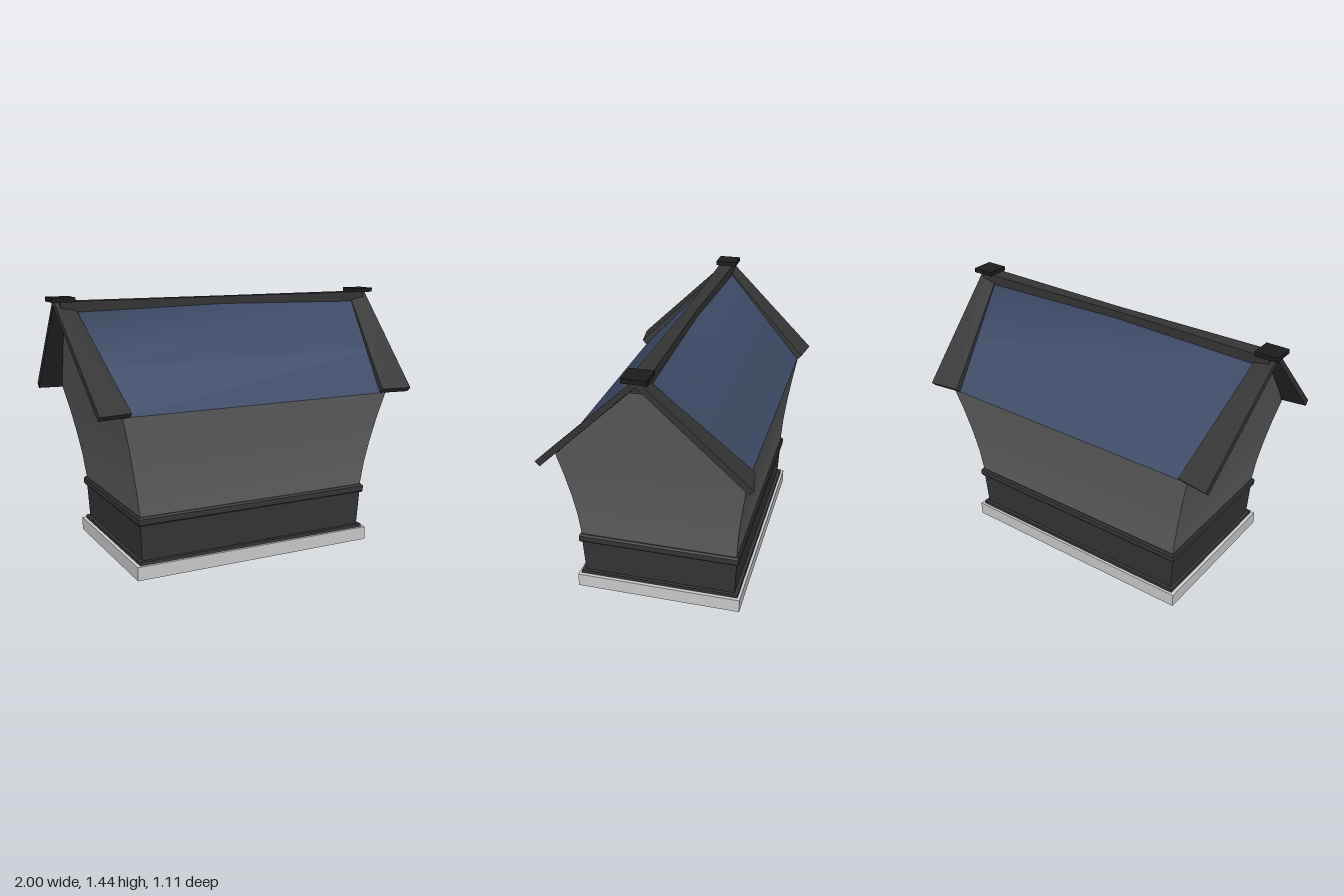
import * as THREE from 'three';
import { ConvexGeometry } from 'three/addons/geometries/ConvexGeometry.js';

const mat = (color, side = THREE.FrontSide) => new THREE.MeshStandardMaterial({ color, side });

// Grid surface from rows of points; rows run downwards, columns to the right as seen from outside
function sheet(rows, flat = false) {
  const n = rows[0].length, index = [];
  for (let i = 0; i < rows.length - 1; i++) {
    for (let j = 0; j < n - 1; j++) {
      const a = i * n + j, b = a + n;
      index.push(a, b, a + 1, b, b + 1, a + 1);
    }
  }
  let g = new THREE.BufferGeometry();
  g.setAttribute('position', new THREE.Float32BufferAttribute(rows.flat(2), 3));
  g.setIndex(index);
  if (flat) g = g.toNonIndexed();
  g.computeVertexNormals();
  return g;
}

// Rectangular loft through [y, halfX, halfZ] levels listed top to bottom
function loft(levels) {
  const corners = [[-1, 1], [1, 1], [1, -1], [-1, -1], [-1, 1]];
  return sheet(levels.map(([y, x, z]) => corners.map(([sx, sz]) => [sx * x, y, sz * z])), true);
}

export function createModel() {
  const model = new THREE.Group();
  const add = (name, geometry, material, x = 0, y = 0, z = 0) => {
    const mesh = new THREE.Mesh(geometry, material);
    mesh.name = name;
    mesh.position.set(x, y, z);
    model.add(mesh);
    return mesh;
  };
  const slab = mat(0xcccccc);
  const dark = mat(0x353535);
  const black = mat(0x1c1c1c);
  const wall = mat(0x626262, THREE.DoubleSide);
  const blue = mat(0x3d4a66, THREE.DoubleSide);

  // Foundation and dark skirting with its moulded rail
  add('foundationSlab', new THREE.BoxGeometry(1.43, 0.075, 0.92), slab, 0, 0.0375);
  add('plinthStep', new THREE.BoxGeometry(1.39, 0.018, 0.89), dark, 0, 0.084);
  add('skirting', loft([[0.29, 0.687, 0.434], [0.09, 0.676, 0.425]]), dark);
  add('skirtingRail', loft([
    [0.335, 0.66, 0.41], [0.335, 0.694, 0.44], [0.325, 0.701, 0.447],
    [0.295, 0.701, 0.447], [0.285, 0.694, 0.44], [0.285, 0.66, 0.41],
  ]), dark);

  // Flared body: [y, halfX, halfZ] from ridge to foot; eaves are at index 2
  const body = [
    [1.41, 0.925, 0], [1.1, 0.85, 0.295], [0.88, 0.795, 0.503], [0.74, 0.76, 0.479],
    [0.6, 0.73, 0.458], [0.47, 0.706, 0.443], [0.32, 0.685, 0.433],
  ];
  const frontWall = sheet(body.slice(2).map(([y, x, z]) => [[-x, y, z], [x, y, z]]));
  const gableWall = sheet(body.map(([y, x, z]) => [[x, y, z], [x, y, -z]]));
  add('frontWall', frontWall, wall);
  add('backWall', frontWall, wall).rotation.y = Math.PI;
  add('leftGableWall', gableWall, wall);
  add('rightGableWall', gableWall, wall).rotation.y = Math.PI;

  // Roof in one sheet over the ridge, so shading blends across the top
  const slope = body.slice(0, 3);
  const roofRows = [
    ...slope.slice(1).reverse().map(([y, x, z]) => [y, x, -z]),
    ...slope,
  ].map(([y, x, z]) => [[-x, y, z], [x, y, z]]);
  add('roof', sheet(roofRows), blue);

  // Ridge beam, narrower in the middle
  const ridge = new THREE.BoxGeometry(1.9, 0.07, 2, 2, 1, 1);
  const p = ridge.attributes.position;
  for (let i = 0; i < p.count; i++) {
    p.setZ(i, p.getZ(i) * (0.03 + 0.015 * Math.abs(p.getX(i)) / 0.95));
  }
  ridge.computeVertexNormals();
  add('ridgeBeam', ridge, dark, 0, 1.385);

  // Tilted bargeboards along each gable slope, and a cap on each peak
  const board = [
    [0.978, 1.435, 0], [0.978, 1.395, 0], [0.875, 1.415, 0], [0.875, 1.375, 0],
    [0.93, 0.905, 0.555], [0.93, 0.88, 0.53], [0.755, 0.905, 0.528], [0.755, 0.88, 0.505],
  ];
  for (const sx of [1, -1]) {
    const side = sx > 0 ? 'left' : 'right';
    for (const sz of [1, -1]) {
      const points = board.map(([x, y, z]) => new THREE.Vector3(sx * x, y, sz * z));
      add(`${side}${sz > 0 ? 'Front' : 'Back'}Bargeboard`, new ConvexGeometry(points), dark);
    }
    add(`${side}PeakCap`, new THREE.BoxGeometry(0.126, 0.024, 0.126), black, sx * 0.937, 1.43);
  }
  return model;
}
